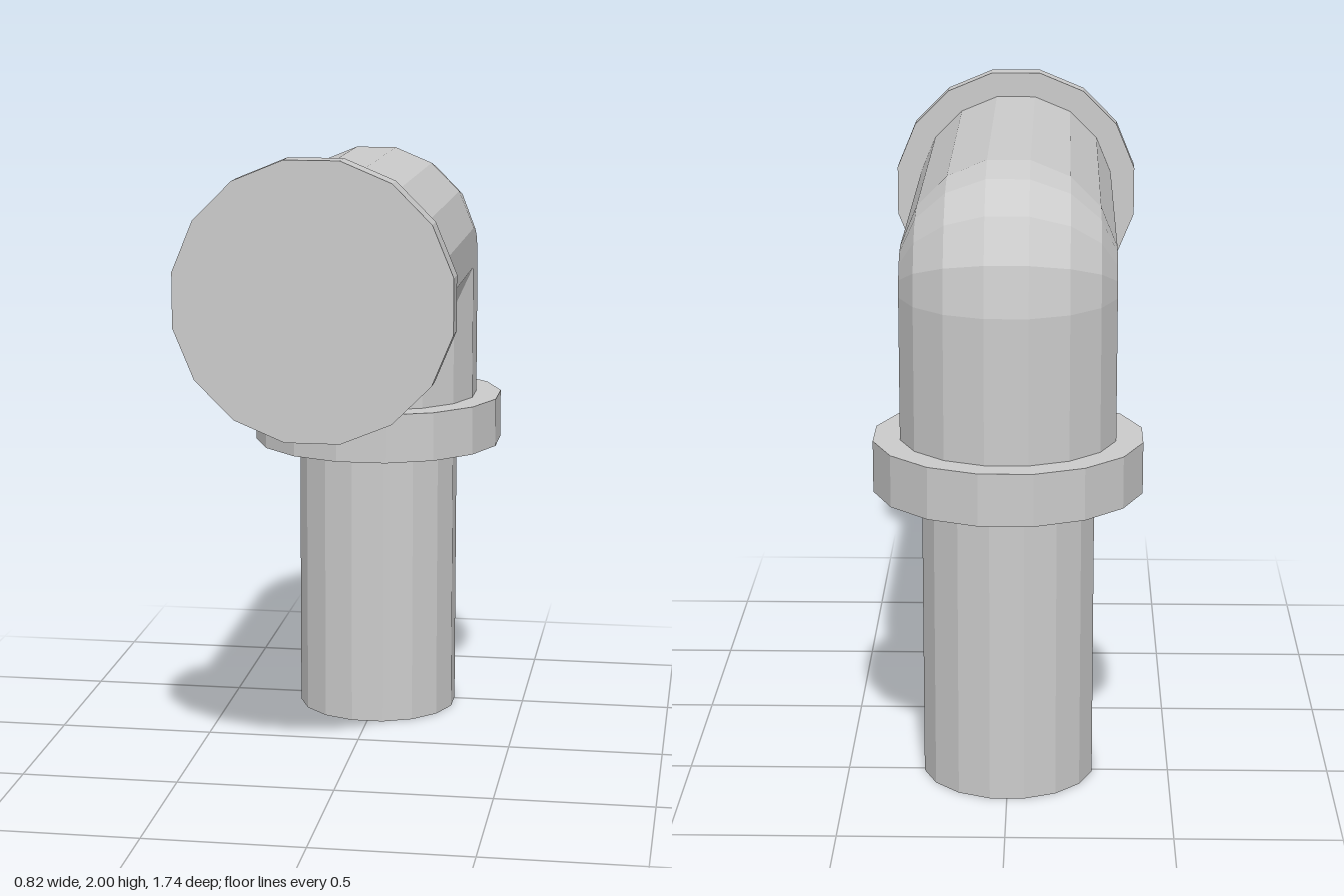
import * as THREE from 'three';

const SIDES = 16;
const HALF = Math.PI / SIDES;        // half a facet, so flats face the axes
const AXIS_Z = -0.4625;              // axis of the upright pipe
const AXIS_Y = 1.592;                // axis of the level pipe

export function createModel() {
  const group = new THREE.Group();
  const material = new THREE.MeshStandardMaterial({ color: 0xcccccc, flatShading: true });

  function add(name, geometry) {
    const mesh = new THREE.Mesh(geometry, material);
    mesh.name = name;
    group.add(mesh);
    return mesh;
  }

  function disc(name, radius, height) {
    const geometry = new THREE.CylinderGeometry(radius, radius, height, SIDES);
    return add(name, geometry.rotateY(HALF));
  }

  // Upright parts
  disc('lowerPipe', 0.267, 0.925).position.set(0, 0.4625, AXIS_Z);
  disc('collar', 0.416, 0.16).position.set(0, 1.006, AXIS_Z);

  // Closed flange at the front end
  const flange = disc('endFlange', 0.416, 0.08);
  flange.rotation.x = Math.PI / 2;
  flange.position.set(0, AXIS_Y, 0.834);

  add('elbowPipe', elbowGeometry(0.333, 1.0, 0.83));
  return group;
}

// Pipe rising from bottomY, turning through a bend and running forward to endZ.
// The outer half sweeps round the bend, the inner half meets in a straight mitre.
function elbowGeometry(radius, bottomY, endZ) {
  const bend = radius * Math.sin(HALF);
  const centreZ = AXIS_Z + bend, centreY = AXIS_Y - bend;
  const steps = 4, positions = [], indices = [];

  function ring(place) {
    for (let j = 0; j < SIDES; j++) {
      const a = HALF + j * 2 * HALF;
      const [y, z] = place(radius * Math.sin(a));
      positions.push(radius * Math.cos(a), y, z);
    }
  }

  ring(d => [bottomY, AXIS_Z - d]);
  for (let i = 0; i <= steps; i++) {
    const t = (i / steps) * Math.PI / 2;
    ring(d => {
      const r = d + bend;
      return r > 0
        ? [centreY + r * Math.sin(t), centreZ - r * Math.cos(t)]
        : [centreY + r, centreZ - r];
    });
  }
  ring(d => [AXIS_Y + d, endZ]);

  for (let i = 0; i < steps + 2; i++) {
    for (let j = 0; j < SIDES; j++) {
      const a = i * SIDES + j, b = i * SIDES + (j + 1) % SIDES;
      const c = a + SIDES, d = b + SIDES;
      indices.push(a, b, c, b, d, c);
    }
  }

  const geometry = new THREE.BufferGeometry();
  geometry.setAttribute('position', new THREE.Float32BufferAttribute(positions, 3));
  geometry.setIndex(indices);
  // Separate the facets so each keeps its own normal
  const faceted = geometry.toNonIndexed();
  faceted.computeVertexNormals();
  return faceted;
}
